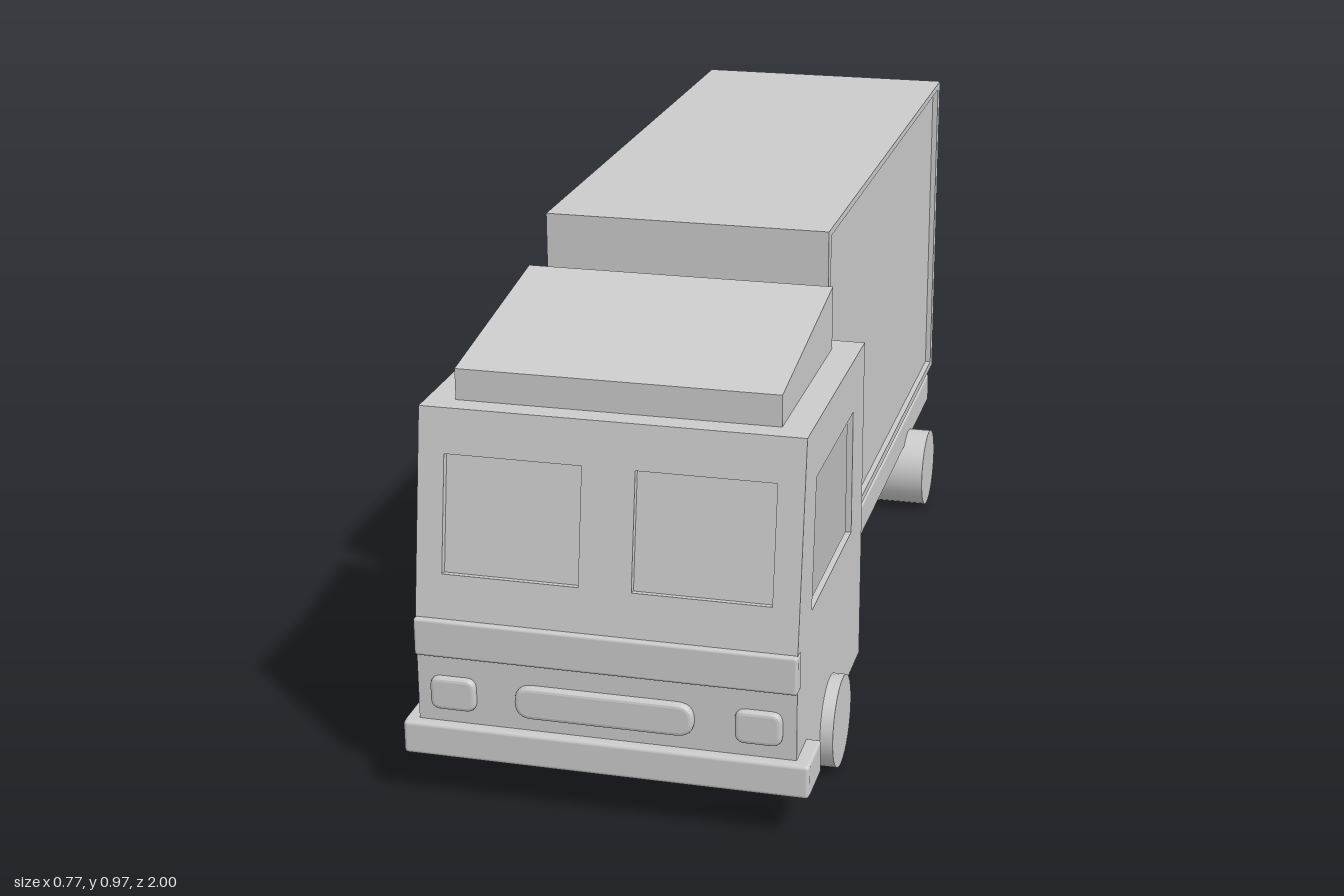
import * as THREE from 'three';
import { RoundedBoxGeometry } from 'three/addons/geometries/RoundedBoxGeometry.js';

const mat = new THREE.MeshStandardMaterial({ color: 0xcccccc });

// Closed polygon path from [x, y] pairs
const trace = (pts, Type = THREE.Shape) => new Type(pts.map(([x, y]) => new THREE.Vector2(x, y)));
const rect = (x0, y0, x1, y1) => [[x0, y0], [x1, y0], [x1, y1], [x0, y1]];

function panel(outline, holes, depth) {
  const shape = trace(outline);
  holes.forEach(h => shape.holes.push(trace(h, THREE.Path)));
  return new THREE.ExtrudeGeometry(shape, { depth, bevelEnabled: false });
}

function roundedPlate(w, h, r, depth) {
  const s = new THREE.Shape();
  const x = w / 2, y = h / 2;
  s.moveTo(-x + r, -y);
  s.lineTo(x - r, -y).quadraticCurveTo(x, -y, x, -y + r);
  s.lineTo(x, y - r).quadraticCurveTo(x, y, x - r, y);
  s.lineTo(-x + r, y).quadraticCurveTo(-x, y, -x, y - r);
  s.lineTo(-x, -y + r).quadraticCurveTo(-x, -y, -x + r, -y);
  return new THREE.ExtrudeGeometry(s, {
    depth, bevelThickness: 0.008, bevelSize: 0.008, bevelOffset: -0.008, bevelSegments: 3, curveSegments: 6,
  });
}

export function createModel() {
  const model = new THREE.Group();
  model.name = 'boxTruck';

  const add = (name, geo, parent = model) => {
    const m = new THREE.Mesh(geo, mat);
    m.name = name;
    parent.add(m);
    return m;
  };
  // Box given by its limits on each axis
  const box = (name, [x0, x1], [y0, y1], [z0, z1], parent, round = 0) => {
    const size = [x1 - x0, y1 - y0, z1 - z0];
    const geo = round ? new RoundedBoxGeometry(...size, 2, round) : new THREE.BoxGeometry(...size);
    const m = add(name, geo, parent);
    m.position.set((x0 + x1) / 2, (y0 + y1) / 2, (z0 + z1) / 2);
    return m;
  };
  const group = name => {
    const g = new THREE.Group();
    g.name = name;
    model.add(g);
    return g;
  };

  // Cab: hollow shell with side windows, drawn as (z, y) profiles
  const cab = group('cab');
  const cabSide = [[0.375, 0.09], [0.98, 0.09], [0.98, 0.36], [0.915, 0.755], [0.375, 0.755]];
  const wall = 0.012;
  for (const side of [1, -1]) {
    const front = side > 0 ? 0.86 : 0.785;
    const window = [[0.485, 0.4], [front, 0.4], [front - 0.03, 0.65], [0.485, 0.65]];
    const m = add(side > 0 ? 'leftCabWall' : 'rightCabWall', panel(cabSide, [window], wall).rotateY(-Math.PI / 2), cab);
    m.position.x = side > 0 ? 0.36 : -0.36 + wall;
  }
  const inner = [-0.348, 0.348];
  box('cabRoof', inner, [0.743, 0.755], [0.375, 0.915], cab);
  box('cabFloor', inner, [0.09, 0.1], [0.375, 0.98], cab);
  box('cabBack', inner, [0.1, 0.743], [0.375, 0.387], cab);
  box('cabNose', inner, [0.1, 0.36], [0.965, 0.98], cab);
  box('noseBelt', [-0.362, 0.362], [0.29, 0.365], [0.955, 0.99], cab, 0.006);

  // Sloping windscreen frame with two recessed panes
  const screen = new THREE.Group();
  screen.name = 'windscreen';
  screen.position.set(0, 0.36, 0.98);
  screen.rotation.x = -Math.atan2(0.065, 0.395);
  cab.add(screen);
  const panes = [rect(-0.31, 0.09, -0.05, 0.315), rect(0.05, 0.09, 0.31, 0.315)];
  add('windscreenFrame', panel(rect(-0.36, 0, 0.36, 0.4), panes, 0.025), screen).position.z = -0.025;
  for (const s of [-1, 1]) {
    box('windscreenPane', [s * 0.18 - 0.13, s * 0.18 + 0.13], [0.09, 0.315], [-0.025, -0.015], screen);
  }

  // Wedge-shaped wind deflector on the roof
  const wedge = [[0.425, 0.755], [0.87, 0.755], [0.87, 0.815], [0.425, 0.88]];
  add('windDeflector', panel(wedge, [], 0.61).rotateY(-Math.PI / 2), cab).position.x = 0.305;

  // Grille, headlamps and wrap-round bumper
  add('grille', roundedPlate(0.34, 0.065, 0.032, 0.006), cab).position.set(0, 0.217, 0.98);
  for (const s of [-1, 1]) {
    add('headlamp', roundedPlate(0.088, 0.066, 0.02, 0.004), cab).position.set(s * 0.29, 0.217, 0.98);
    box('bumperEnd', s > 0 ? [0.35, 0.387] : [-0.387, -0.35], [0.09, 0.157], [0.89, 0.99], cab, 0.006);
  }
  box('frontBumper', [-0.387, 0.387], [0.09, 0.157], [0.95, 1.0], cab, 0.008);

  // Cargo box: core plus raised frames on both sides and the rear
  const cargo = group('cargoBox');
  box('cargoCore', [-0.273, 0.273], [0.245, 0.972], [-0.973, 0.37], cargo);
  const sideFrame = panel(rect(-0.985, 0.245, 0.37, 0.972), [rect(-0.957, 0.262, 0.345, 0.958)], 0.012).rotateY(-Math.PI / 2);
  add('leftFrame', sideFrame, cargo).position.x = 0.285;
  add('rightFrame', sideFrame, cargo).position.x = -0.273;
  add('rearFrame', panel(rect(-0.273, 0.245, 0.273, 0.972), [rect(-0.262, 0.265, 0.262, 0.955)], 0.012), cargo)
    .position.z = -0.985;

  // Rear door lock rods with clamps
  for (const x of [-0.08, 0.11]) {
    const rod = add('lockRod', new THREE.CylinderGeometry(0.006, 0.006, 0.71, 10), cargo);
    rod.position.set(x, 0.608, -0.981);
    for (const y of [0.955, 0.72, 0.485, 0.265]) {
      box('rodClamp', [x - 0.013, x + 0.013], [y - 0.012, y + 0.012], [-1.0, -0.973], cargo, 0.003);
    }
  }

  // Chassis with rear lights and rear bumper
  const chassis = group('chassis');
  box('chassisBed', [-0.28, 0.28], [0.157, 0.225], [-0.97, 0.38], chassis, 0.005);
  box('chassisTop', [-0.265, 0.265], [0.22, 0.25], [-0.96, 0.38], chassis);
  box('rearBumper', [-0.26, 0.26], [0.122, 0.152], [-0.942, -0.885], chassis, 0.006);
  for (const s of [-1, 1]) {
    box('bumperBracket', [s * 0.15 - 0.02, s * 0.15 + 0.02], [0.145, 0.165], [-0.93, -0.895], chassis);
    for (const x of [0.145, 0.193, 0.241]) {
      box('rearLight', [s * x - 0.019, s * x + 0.019], [0.18, 0.212], [-0.982, -0.96], chassis, 0.006);
    }
  }

  // Wheels
  const wheel = new THREE.CylinderGeometry(0.09, 0.09, 0.13, 32).rotateZ(Math.PI / 2);
  for (const s of [-1, 1]) {
    add('frontWheel', wheel).position.set(s * 0.32, 0.09, 0.68);
    add('rearWheel', wheel).position.set(s * 0.265, 0.09, -0.675);
  }
  return model;
}
